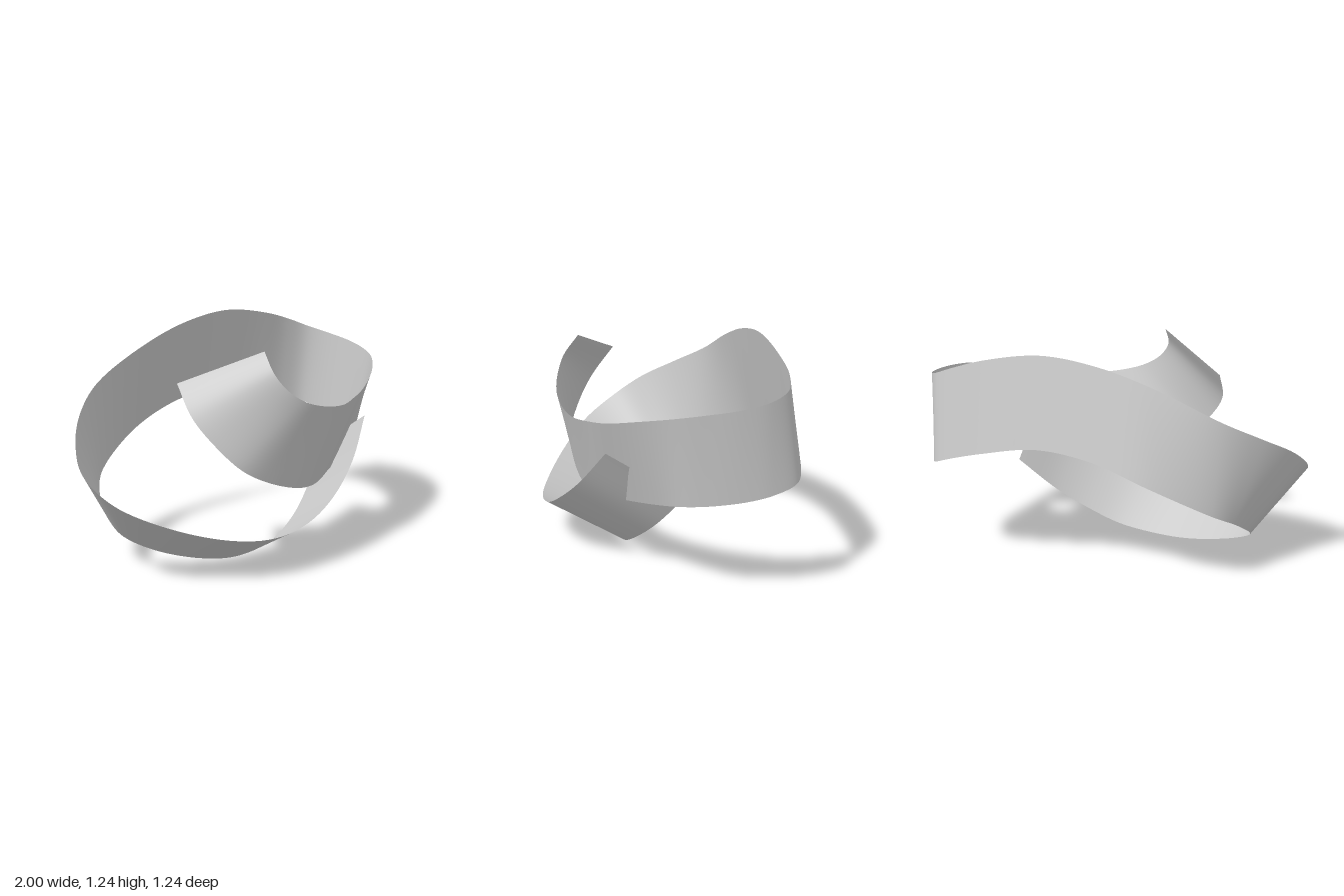
import * as THREE from 'three';

// Upper and lower edge of the ribbon, paired station by station
const UPPER = [
  [-0.1, 1.175, 0.41], [-0.095, 1.07, 0.49], [-0.04, 0.985, 0.53], [0.06, 0.915, 0.55],
  [0.2, 0.87, 0.54], [0.36, 0.85, 0.5], [0.48, 0.86, 0.44], [0.62, 0.885, 0.36],
  [0.8, 0.94, 0.22], [0.93, 0.985, 0.06], [0.98, 1.01, -0.08], [1, 1.03, -0.23],
  [0.975, 1.055, -0.39], [0.9, 1.09, -0.5], [0.78, 1.14, -0.535], [0.6, 1.195, -0.53],
  [0.3, 1.24, -0.51], [0, 1.2, -0.49], [-0.3, 1.1, -0.46], [-0.63, 0.94, -0.4],
  [-0.82, 0.82, -0.26], [-0.95, 0.7, -0.08], [-1, 0.58, 0.08], [-0.93, 0.455, 0.27],
  [-0.7, 0.335, 0.44], [-0.4, 0.25, 0.57], [-0.17, 0.235, 0.62], [0.05, 0.275, 0.61],
  [0.25, 0.37, 0.565], [0.45, 0.52, 0.48], [0.63, 0.73, 0.365],
];
const LOWER = [
  [-0.48, 1.01, 0.165], [-0.47, 0.85, 0.29], [-0.4, 0.72, 0.375], [-0.27, 0.575, 0.445],
  [-0.1, 0.48, 0.45], [0.13, 0.405, 0.42], [0.29, 0.39, 0.36], [0.46, 0.417, 0.26],
  [0.7, 0.465, 0.115], [0.86, 0.505, 0], [0.925, 0.525, -0.13], [0.96, 0.55, -0.3],
  [0.955, 0.575, -0.43], [0.9, 0.61, -0.56], [0.78, 0.66, -0.61], [0.6, 0.71, -0.62],
  [0.3, 0.76, -0.605], [0, 0.72, -0.595], [-0.3, 0.6, -0.57], [-0.6, 0.43, -0.43],
  [-0.69, 0.35, -0.31], [-0.725, 0.28, -0.2], [-0.735, 0.23, -0.12], [-0.71, 0.17, -0.03],
  [-0.57, 0.09, 0.065], [-0.33, 0.02, 0.15], [-0.13, 0.003, 0.195], [0.1, 0.04, 0.19],
  [0.28, 0.13, 0.15], [0.45, 0.26, 0.075], [0.63, 0.465, -0.043],
];

const edgeCurve = (points) =>
  new THREE.CatmullRomCurve3(points.map((p) => new THREE.Vector3(...p)), false, 'centripetal');

// Ruled strip: straight lines between matching points of two curves
function ruledStrip(a, b, along, across) {
  const positions = [];
  const index = [];
  const row = across + 1;
  for (let i = 0; i <= along; i++) {
    const pa = a.getPoint(i / along);
    const pb = b.getPoint(i / along);
    for (let j = 0; j <= across; j++) {
      positions.push(...pa.clone().lerp(pb, j / across).toArray());
      if (i < along && j < across) {
        const k = i * row + j;
        index.push(k, k + 1, k + row, k + 1, k + row + 1, k + row);
      }
    }
  }
  const geometry = new THREE.BufferGeometry();
  geometry.setAttribute('position', new THREE.Float32BufferAttribute(positions, 3));
  geometry.setIndex(index);
  geometry.computeVertexNormals();
  return geometry;
}

export function createModel() {
  const group = new THREE.Group();
  group.name = 'twistedBand';

  // One thin open ribbon looping once around with overlapping ends
  const material = new THREE.MeshStandardMaterial({ color: 0xcccccc, side: THREE.DoubleSide });
  const ribbon = new THREE.Mesh(ruledStrip(edgeCurve(UPPER), edgeCurve(LOWER), 240, 8), material);
  ribbon.name = 'ribbon';
  group.add(ribbon);
  return group;
}
